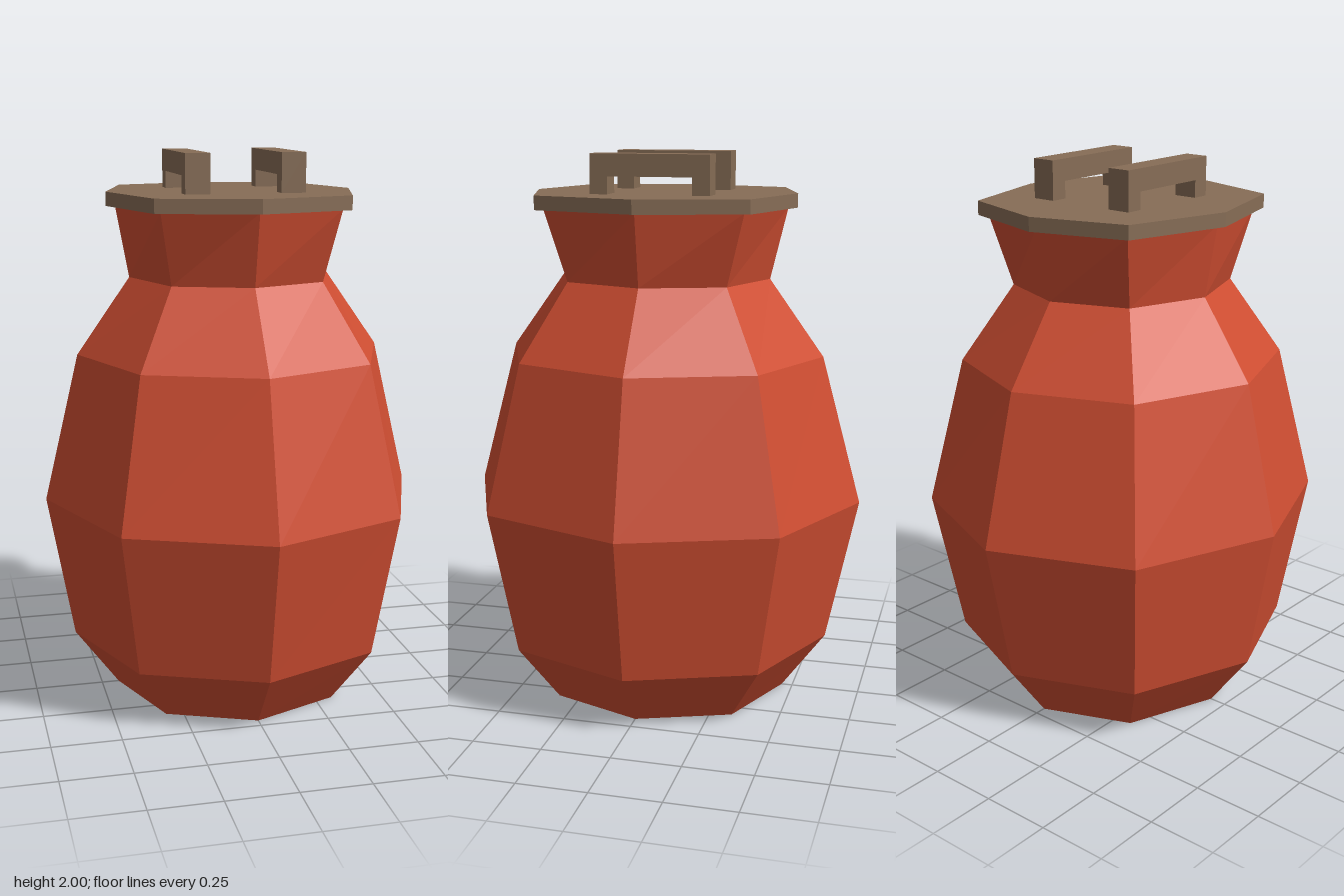
import * as THREE from 'three';

const SIDES = 8;

// Eight-sided ring, corners on the axes; diagonal corners given separately.
function ringPoint(i, rx, rz, dx, dz) {
  const a = (i / SIDES) * Math.PI * 2;
  const s = Math.sin(a), c = Math.cos(a);
  return i % 2 ? [Math.sign(s) * dx, Math.sign(c) * dz] : [s * rx, c * rz];
}

// Open faceted wall through a list of rings [y, rx, rz, dx, dz].
function wall(rings) {
  const positions = [];
  for (const [y, ...r] of rings) {
    for (let i = 0; i < SIDES; i++) {
      const [x, z] = ringPoint(i, ...r);
      positions.push(x, y, z);
    }
  }
  const index = [];
  for (let j = 0; j < rings.length - 1; j++) {
    for (let i = 0; i < SIDES; i++) {
      const n = (i + 1) % SIDES;
      const a = j * SIDES + i, b = j * SIDES + n;
      const c = a + SIDES, d = b + SIDES;
      index.push(a, b, d, a, d, c);
    }
  }
  const geometry = new THREE.BufferGeometry();
  geometry.setAttribute('position', new THREE.Float32BufferAttribute(positions, 3));
  geometry.setIndex(index);
  const flat = geometry.toNonIndexed();
  flat.computeVertexNormals();
  return flat;
}

export function createModel() {
  const clay = new THREE.MeshStandardMaterial({ color: 0xd04e32, side: THREE.DoubleSide });
  clay.name = 'red clay';
  const wood = new THREE.MeshStandardMaterial({ color: 0x876d56 });
  wood.name = 'brown wood';

  const model = new THREE.Group();
  model.name = 'liddedJar';
  const add = (name, geometry, material) => {
    const mesh = new THREE.Mesh(geometry, material);
    mesh.name = name;
    model.add(mesh);
    return mesh;
  };

  // Bulging body, open at the base
  add('body', wall([
    [0, 0.437, 0.46, 0.313, 0.33],
    [0.215, 0.597, 0.62, 0.427, 0.445],
    [0.745, 0.692, 0.733, 0.495, 0.526],
    [1.28, 0.564, 0.587, 0.405, 0.425],
    [1.555, 0.37, 0.388, 0.27, 0.287],
  ]), clay);

  // Flared neck
  add('neck', wall([
    [1.555, 0.37, 0.388, 0.27, 0.287],
    [1.812, 0.417, 0.45, 0.318, 0.355],
  ]), clay);

  // Flat lid
  const outline = [];
  for (let i = SIDES - 1; i >= 0; i--) {
    outline.push(new THREE.Vector2(...ringPoint(i, 0.45, 0.483, 0.343, 0.38)));
  }
  const lid = new THREE.ExtrudeGeometry(new THREE.Shape(outline), { depth: 0.05, bevelEnabled: false });
  lid.rotateX(-Math.PI / 2);
  add('lid', lid, wood).position.y = 1.81;

  // Two bracket handles running front to back
  const bracket = [
    [-0.215, 0], [-0.152, 0], [-0.152, 0.062], [0.152, 0.062],
    [0.152, 0], [0.215, 0], [0.215, 0.14], [-0.215, 0.14],
  ].map(([x, y]) => new THREE.Vector2(x, y));
  const width = 0.088;
  const handle = new THREE.ExtrudeGeometry(new THREE.Shape(bracket), { depth: width, bevelEnabled: false });
  handle.translate(0, 0, -width / 2);
  handle.rotateY(-Math.PI / 2);
  add('rightHandle', handle, wood).position.set(-0.161, 1.86, 0);
  add('leftHandle', handle, wood).position.set(0.181, 1.86, 0);

  return model;
}
